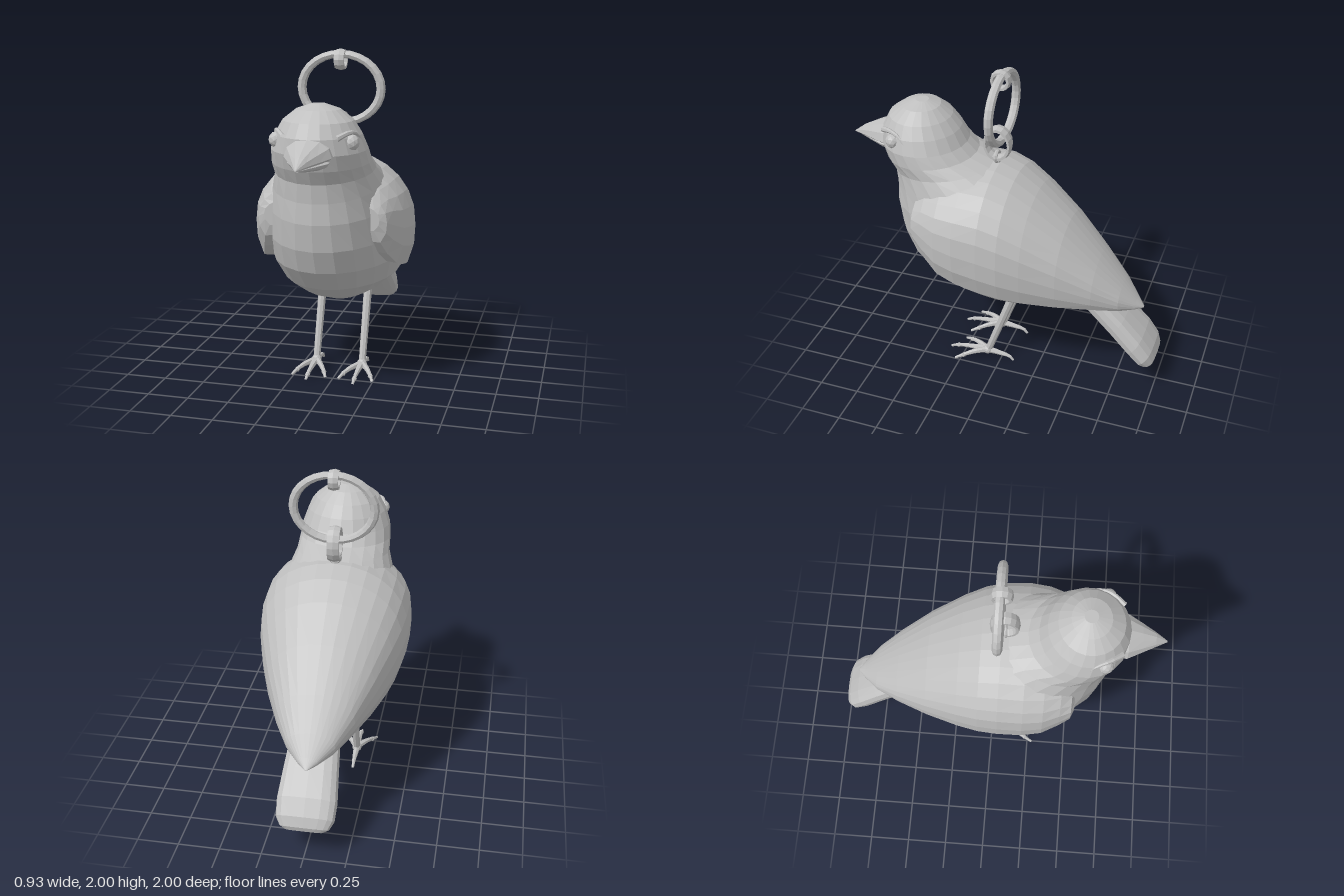
import * as THREE from 'three';

const grey = new THREE.MeshStandardMaterial({ color: 0xbfbfbf, flatShading: true });
grey.name = 'grey';

// Skin over closed rings of points, counter-clockwise seen from the first ring; both ends are capped
function loft(rings) {
  const n = rings[0].length, pos = [], idx = [];
  const mid = r => r.reduce((s, p) => s.add(p), new THREE.Vector3()).divideScalar(n);
  const all = [rings[0].map(() => mid(rings[0])), ...rings, rings[0].map(() => mid(rings[rings.length - 1]))];
  all.forEach(r => r.forEach(p => pos.push(p.x, p.y, p.z)));
  for (let i = 0; i < all.length - 1; i++) {
    for (let j = 0; j < n; j++) {
      const k = (j + 1) % n, a = i * n + j, b = i * n + k, c = a + n, d = b + n;
      if (i < all.length - 2) idx.push(a, c, d);
      if (i > 0) idx.push(a, d, b);
    }
  }
  const g = new THREE.BufferGeometry();
  g.setAttribute('position', new THREE.Float32BufferAttribute(pos, 3));
  g.setIndex(idx);
  g.computeVertexNormals();
  return g;
}

// Ring between a front point and a back point (z, y) with half width w; power < 1 is boxier
function spineRing([fz, fy, bz, by, w], n = 22, power = 1) {
  const round = v => Math.sign(v) * Math.abs(v) ** power;
  return Array.from({ length: n }, (_, j) => {
    const a = (j / n) * Math.PI * 2, c = round(Math.cos(a)), s = round(Math.sin(a));
    return new THREE.Vector3(w * s, (fy + by) / 2 + c * (fy - by) / 2, (fz + bz) / 2 + c * (fz - bz) / 2);
  });
}

// Upright ring at z with separate heights above and below its centre
function beakRing([z, y, w, up, down]) {
  return Array.from({ length: 12 }, (_, j) => {
    const a = (j / 12) * Math.PI * 2, c = Math.cos(a);
    return new THREE.Vector3(-w * Math.sin(a), y + c * (c > 0 ? up : down), z);
  });
}

// Cross-section of the folded wings: an arch over the back, tucked in at the lower edge
function wingRing([z, top, low, w]) {
  const half = [], ym = low + (top - low) * 0.36;
  for (let k = 1; k <= 7; k++) {
    const a = (k / 7) * Math.PI / 2;
    half.push([w * Math.sin(a), ym + (top - ym) * Math.max(0, Math.cos(a)) ** 0.85]);
  }
  half.push([w * 0.985, low + (ym - low) * 0.5], [w * 0.9, low], [w * 0.78, low + (ym - low) * 0.03]);
  const right = half.map(([x, y]) => new THREE.Vector3(-x, y, z));
  const left = half.map(([x, y]) => new THREE.Vector3(x, y, z)).reverse();
  return [new THREE.Vector3(0, top, z), ...right, ...left];
}

// Tube whose radius changes from r0 to r1
function taper(points, r0, r1, seg = 6, sides = 7) {
  const curve = new THREE.CatmullRomCurve3(points.map(p => new THREE.Vector3(...p)));
  const g = new THREE.TubeGeometry(curve, seg, 1, sides);
  const p = g.attributes.position, v = new THREE.Vector3();
  for (let i = 0; i < p.count; i++) {
    const t = Math.floor(i / (sides + 1)) / seg, c = curve.getPointAt(t);
    v.fromBufferAttribute(p, i).sub(c).multiplyScalar(r0 + (r1 - r0) * t).add(c);
    p.setXYZ(i, v.x, v.y, v.z);
  }
  return g;
}

export function createModel() {
  const model = new THREE.Group();
  model.name = 'birdOrnament';
  const add = (name, geometry, parent = model) => {
    const mesh = new THREE.Mesh(geometry, grey);
    mesh.name = name;
    parent.add(mesh);
    return mesh;
  };

  // Head and body: front z, front y, back z, back y, half width
  add('body', loft([
    [0.58, 1.738, 0.50, 1.738, 0.04],
    [0.66, 1.71, 0.43, 1.71, 0.125],
    [0.74, 1.65, 0.36, 1.65, 0.20],
    [0.78, 1.57, 0.305, 1.58, 0.245],
    [0.785, 1.48, 0.26, 1.50, 0.275],
    [0.755, 1.39, 0.20, 1.44, 0.285],
    [0.71, 1.31, 0.08, 1.395, 0.29],
    [0.70, 1.20, -0.08, 1.33, 0.325],
    [0.705, 1.08, -0.25, 1.18, 0.36],
    [0.68, 0.92, -0.42, 1.00, 0.39],
    [0.62, 0.78, -0.55, 0.82, 0.395],
    [0.50, 0.65, -0.58, 0.66, 0.35],
    [0.34, 0.555, -0.48, 0.585, 0.26],
    [0.16, 0.49, -0.30, 0.51, 0.15],
    [0.02, 0.467, -0.12, 0.47, 0.05],
  ].map(s => spineRing(s))));

  // Folded wings meeting over the back: z, top, lower edge, half width
  add('foldedWings', loft([
    [0.505, 1.20, 1.02, 0.34],
    [0.485, 1.27, 0.95, 0.38],
    [0.42, 1.34, 0.87, 0.41],
    [0.32, 1.38, 0.79, 0.45],
    [0.20, 1.40, 0.75, 0.465],
    [0.05, 1.40, 0.715, 0.46],
    [-0.07, 1.355, 0.69, 0.443],
    [-0.20, 1.265, 0.665, 0.405],
    [-0.40, 1.09, 0.635, 0.33],
    [-0.60, 0.875, 0.605, 0.235],
    [-0.75, 0.705, 0.575, 0.145],
    [-0.84, 0.60, 0.555, 0.06],
    [-0.885, 0.552, 0.547, 0.008],
  ].map(wingRing)));

  // Tail: a thick rounded blade under the wing tips
  add('tail', loft([
    [-0.40, 0.62, -0.50, 0.72, 0.13],
    [-0.50, 0.56, -0.60, 0.66, 0.145],
    [-0.70, 0.375, -0.79, 0.495, 0.165],
    [-0.82, 0.26, -0.91, 0.375, 0.178],
    [-0.89, 0.195, -0.975, 0.285, 0.172],
    [-0.925, 0.174, -0.997, 0.225, 0.145],
    [-0.95, 0.172, -0.99, 0.195, 0.11],
  ].map(s => spineRing(s, 16, 0.7))));

  // Beak
  add('upperBeak', loft([
    [1.0, 1.442, 0.004, 0.004, 0.004],
    [0.93, 1.455, 0.045, 0.045, 0.018],
    [0.85, 1.465, 0.09, 0.075, 0.025],
    [0.77, 1.475, 0.135, 0.10, 0.03],
    [0.70, 1.48, 0.14, 0.11, 0.03],
  ].map(beakRing)));
  add('lowerBeak', loft([
    [0.965, 1.437, 0.008, 0.004, 0.008],
    [0.87, 1.44, 0.06, 0.015, 0.028],
    [0.77, 1.445, 0.115, 0.02, 0.045],
    [0.70, 1.45, 0.12, 0.02, 0.06],
  ].map(beakRing)));

  for (const side of [-1, 1]) {
    const label = side > 0 ? 'left' : 'right';

    // Eye and brow
    add(label + 'Eye', new THREE.IcosahedronGeometry(0.046, 1)).position.set(side * 0.212, 1.545, 0.645);
    add(label + 'Brow', taper([
      [side * 0.15, 1.575, 0.735], [side * 0.205, 1.60, 0.66], [side * 0.23, 1.585, 0.60], [side * 0.245, 1.545, 0.56],
    ], 0.018, 0.008));

    // Leg, toes and claws
    const leg = new THREE.Group();
    leg.name = label + 'Leg';
    leg.position.x = side * 0.147;
    model.add(leg);
    add('shank', taper([[0, 0.56, -0.09], [0, 0.30, 0], [0, 0.05, 0.088]], 0.027, 0.022, 4, 8), leg);
    add('ankle', new THREE.IcosahedronGeometry(0.032, 1), leg).position.set(0, 0.055, 0.09);
    for (const x of [-1, 0, 1]) {
      const reach = x ? 0.28 : 0.345;
      add('frontToe', taper([
        [0, 0.055, 0.09], [x * 0.05, 0.052, 0.17], [x * 0.085, 0.035, reach - 0.05], [x * 0.108, 0.014, reach],
      ], 0.022, 0.008), leg);
      add('toePad', new THREE.IcosahedronGeometry(0.017, 0), leg).position.set(x * 0.085, 0.033, reach - 0.05);
    }
    add('backToe', taper([[0, 0.055, 0.09], [0, 0.045, 0.0], [0, 0.035, -0.06], [0, 0.008, -0.085]], 0.022, 0.008), leg);
  }

  // Hanger: eyelet on the back, oval link, large ring and small top loop
  add('eyeletPost', new THREE.CylinderGeometry(0.018, 0.024, 0.08, 8)).position.set(0, 1.40, 0.07);
  add('eyelet', new THREE.TorusGeometry(0.032, 0.012, 6, 12)).position.set(0, 1.435, 0.07);
  const link = add('ovalLink', new THREE.TorusGeometry(0.075, 0.014, 6, 16));
  link.rotation.y = Math.PI / 2;
  link.scale.set(1, 1.27, 3);
  link.position.set(0, 1.525, 0.065);
  const ring = add('largeRing', new THREE.TorusGeometry(0.243, 0.028, 8, 28));
  ring.scale.y = 0.835;
  ring.position.set(0, 1.765, 0.035);
  const loop = add('topLoop', new THREE.TorusGeometry(0.049, 0.015, 6, 12));
  loop.rotation.y = Math.PI / 2;
  loop.scale.z = 2.3;
  loop.position.set(0, 1.936, 0.045);

  return model;
}
